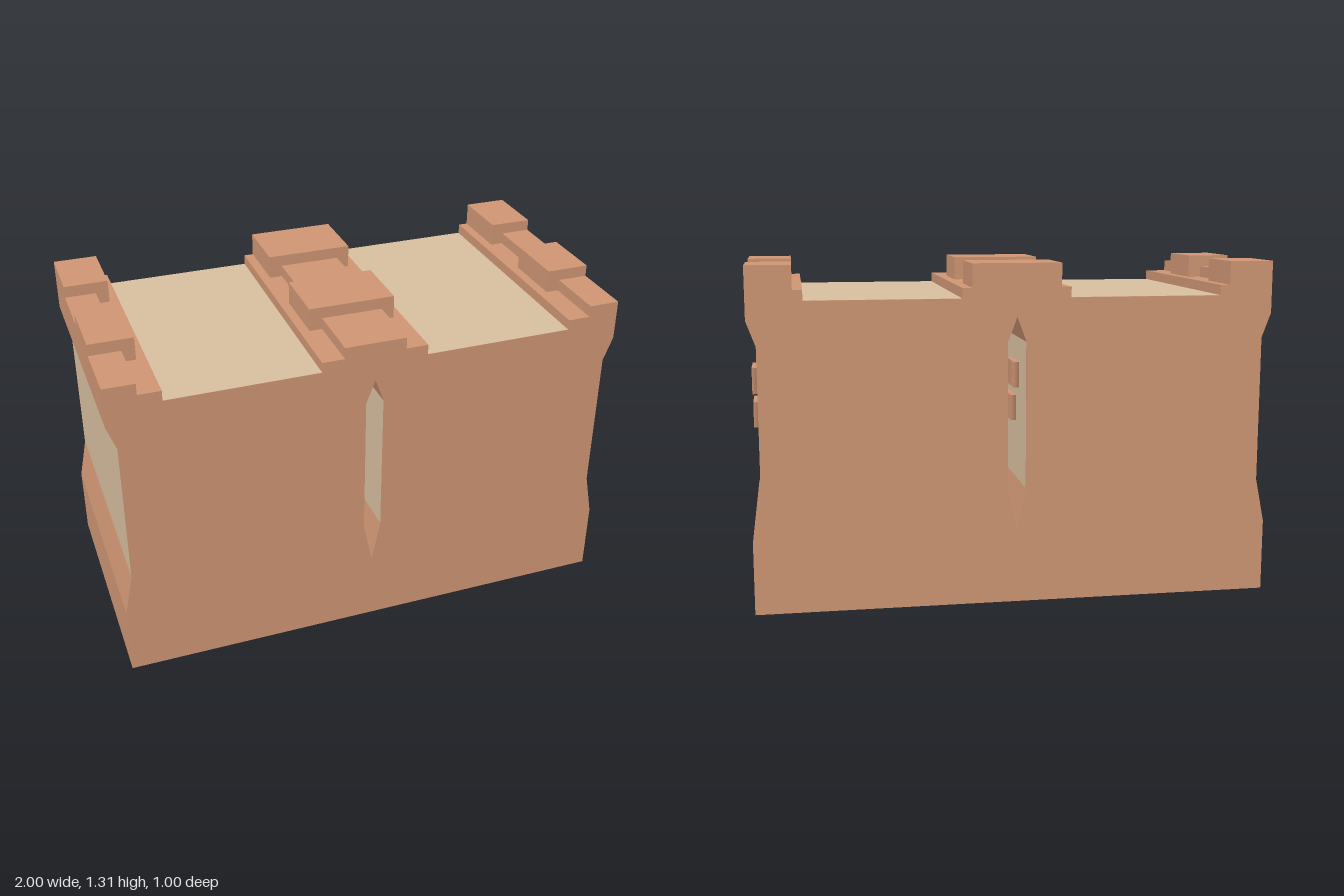
import * as THREE from 'three';

const DEPTH = 1;

export function createModel() {
  const brick = new THREE.MeshStandardMaterial({ name: 'clayBrown', color: 0xcf9674 });
  const plaster = new THREE.MeshStandardMaterial({ name: 'paleTan', color: 0xd8bf9f });
  const group = new THREE.Group();
  group.name = 'castleWall';

  const add = (name, geometry, material, x = 0, y = 0, z = 0) => {
    const mesh = new THREE.Mesh(geometry, material);
    mesh.name = name;
    mesh.position.set(x, y, z);
    group.add(mesh);
    return mesh;
  };

  // Wall body: waisted outline with raised ledges, pierced by a narrow slot
  const rightHalf = [
    [1, 0], [1, 0.28], [0.965, 0.45], [0.965, 1.015], [1, 1.11],
    [1, 1.22], [0.793, 1.22], [0.793, 1.18], [0.207, 1.18], [0.207, 1.22],
  ];
  const leftHalf = rightHalf.map(([x, y]) => [-x, y]).reverse();
  const outline = new THREE.Shape([...rightHalf, ...leftHalf].map(p => new THREE.Vector2(...p)));
  outline.holes.push(new THREE.Path([
    [0, 0.28], [-0.035, 0.45], [-0.035, 1.015], [0, 1.11], [0.035, 1.015], [0.035, 0.45],
  ].map(p => new THREE.Vector2(...p))));
  const body = new THREE.ExtrudeGeometry(outline, { depth: DEPTH, bevelEnabled: false });
  add('wallBody', body, brick, 0, 0, -DEPTH / 2);

  // Battlements: alternating tall and short blocks along three rows
  for (let i = 0; i < 4; i++) {
    const tall = i % 2 === 0;
    const height = tall ? 0.09 : 0.045;
    const reach = tall ? 0.17 : 0.12;
    const z = -0.375 + i * 0.25;
    const y = 1.22 + height / 2;
    const name = tall ? 'tallMerlon' : 'shortMerlon';
    add(name, new THREE.BoxGeometry(reach * 2, height, 0.25), brick, 0, y, z);
    for (const side of [-1, 1]) {
      add(name, new THREE.BoxGeometry(reach, height, 0.25), brick, side * (1 - reach / 2), y, z);
    }
  }

  // Pale walkway floors
  for (const side of [-1, 1]) {
    const floor = new THREE.PlaneGeometry(0.584, DEPTH).rotateX(-Math.PI / 2);
    add('walkwayFloor', floor, plaster, side * 0.5, 1.181, 0);
  }

  // Pale panels on the outer ends and on both faces of the slot
  for (const [x, facing] of [[0.966, 1], [-0.966, -1], [-0.034, 1], [0.034, -1]]) {
    const panel = new THREE.PlaneGeometry(DEPTH, 0.565).rotateY(facing * Math.PI / 2);
    add('plasterPanel', panel, plaster, x, 0.7325, 0);
  }

  // Exposed bricks: four-sided prisms with softened upright edges
  const stone = new THREE.CylinderGeometry(Math.SQRT1_2, Math.SQRT1_2, 1, 4)
    .rotateY(Math.PI / 4).scale(0.027, 0.1, 0.153);
  for (const wallX of [0.974, -0.026]) {
    for (const [y, z] of [[0.64, 0.277], [0.73, -0.216], [0.87, -0.282]]) {
      add('exposedBrick', stone, brick, wallX, y, z);
    }
  }
  return group;
}
